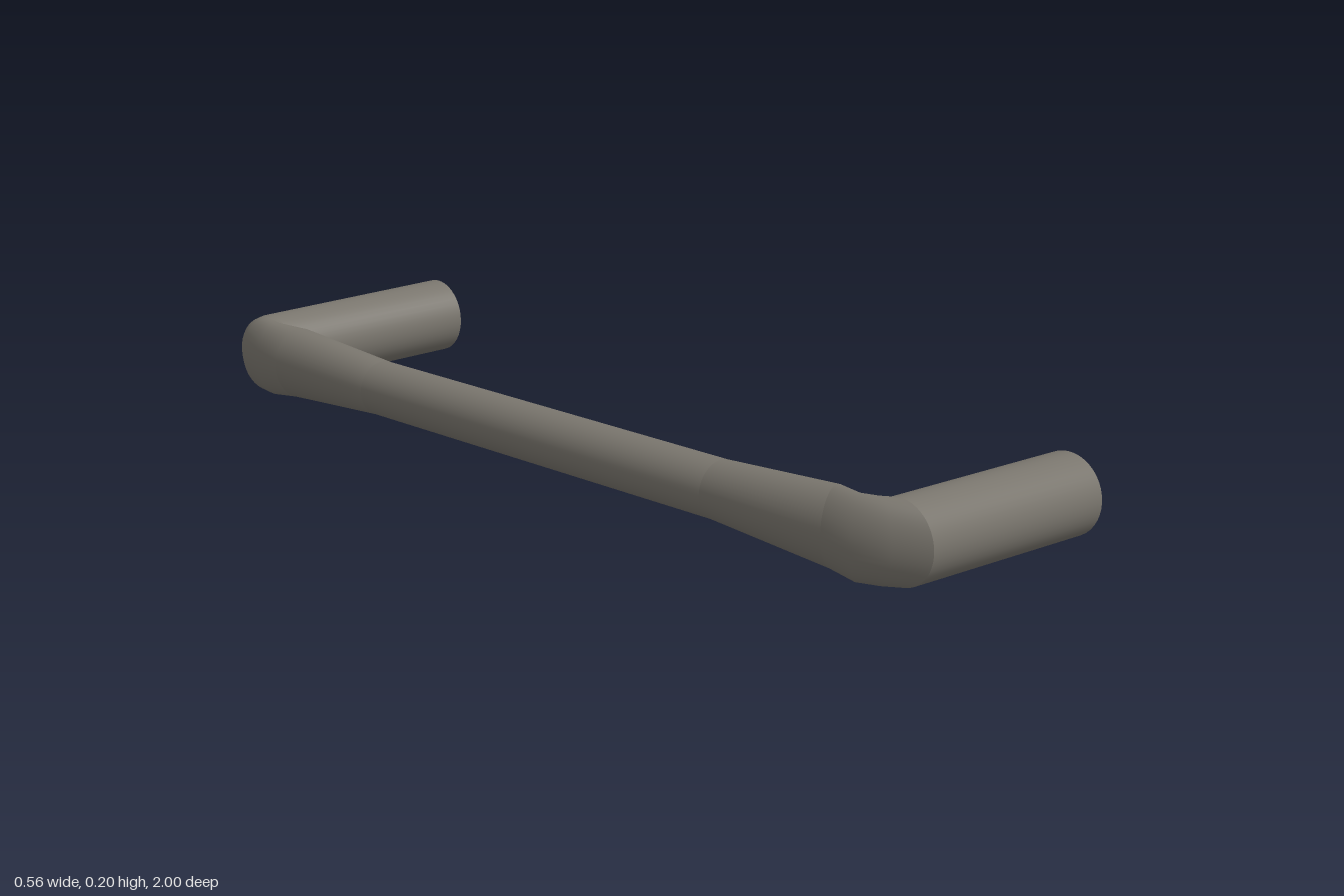
import * as THREE from 'three';

const SIDES = 40;

// Loft through elliptical rings: [innerX, innerZ, outerX, outerZ, centreY, halfHeight]
function loft(rings, capStart = false, capEnd = false) {
  const pos = [], idx = [];
  const addRing = ([ix, iz, ox, oz, cy, h]) => {
    const start = pos.length / 3;
    for (let i = 0; i < SIDES; i++) {
      const a = (i / SIDES) * Math.PI * 2, c = Math.cos(a) / 2;
      pos.push((ix + ox) / 2 + c * (ox - ix), cy + h * Math.sin(a), (iz + oz) / 2 + c * (oz - iz));
    }
    return start;
  };
  const starts = rings.map(addRing);
  for (let r = 0; r < rings.length - 1; r++) {
    for (let i = 0; i < SIDES; i++) {
      const j = (i + 1) % SIDES, a = starts[r], b = starts[r + 1];
      idx.push(a + i, b + i, a + j, a + j, b + i, b + j);
    }
  }
  // Flat end discs with their own vertices, so the rim stays sharp
  const addCap = (ring, flip) => {
    const s = addRing(ring);
    for (let i = 1; i < SIDES - 1; i++) {
      if (flip) idx.push(s, s + i + 1, s + i);
      else idx.push(s, s + i, s + i + 1);
    }
  };
  if (capStart) addCap(rings[0], false);
  if (capEnd) addCap(rings[rings.length - 1], true);
  const g = new THREE.BufferGeometry();
  g.setAttribute('position', new THREE.Float32BufferAttribute(pos, 3));
  g.setIndex(idx);
  g.computeVertexNormals();
  return g;
}

export function createModel() {
  const metal = new THREE.MeshStandardMaterial({ color: 0x79756d });
  metal.name = 'warm grey metal';
  const group = new THREE.Group();
  group.name = 'pullHandle';
  const add = (name, geometry) => {
    const mesh = new THREE.Mesh(geometry, metal);
    mesh.name = name;
    group.add(mesh);
  };

  // Shared rings, from the back post round to the front post
  const backEnd = [0.275, -0.834, 0.273, -0.994, 0.12, 0.082];
  const backElbow = [-0.2, -0.84, -0.205, -1, 0.111, 0.081];
  const backNeck = [-0.165, -0.775, -0.28, -0.8, 0.111, 0.077];
  const backWaist = [-0.165, -0.5, -0.28, -0.5, 0.108, 0.0575];
  const frontWaist = [-0.165, 0.5, -0.28, 0.5, 0.102, 0.0575];
  const frontNeck = [-0.165, 0.765, -0.28, 0.8, 0.096, 0.077];
  const frontElbow = [-0.2, 0.838, -0.21, 1, 0.094, 0.081];
  const frontEnd = [0.272, 0.836, 0.272, 0.997, 0.083, 0.082];

  // Posts
  add('backPost', loft([backEnd, backElbow], true, false));
  add('frontPost', loft([frontElbow, frontEnd], false, true));

  // Elbows: rounded at the back, more chamfered at the front
  add('backElbow', loft([
    backElbow,
    [-0.2, -0.84, -0.24, -0.982, 0.111, 0.081],
    [-0.199, -0.84, -0.264, -0.945, 0.111, 0.081],
    [-0.194, -0.835, -0.28, -0.87, 0.111, 0.081],
    backNeck,
  ]));
  add('frontElbow', loft([
    frontNeck,
    [-0.195, 0.83, -0.28, 0.87, 0.094, 0.081],
    [-0.199, 0.838, -0.25, 0.94, 0.094, 0.081],
    frontElbow,
  ]));

  // Grip: slim in the middle, flaring in height towards the elbows
  add('backFlare', loft([backNeck, backWaist]));
  add('gripBar', loft([backWaist, frontWaist]));
  add('frontFlare', loft([frontWaist, frontNeck]));

  return group;
}
